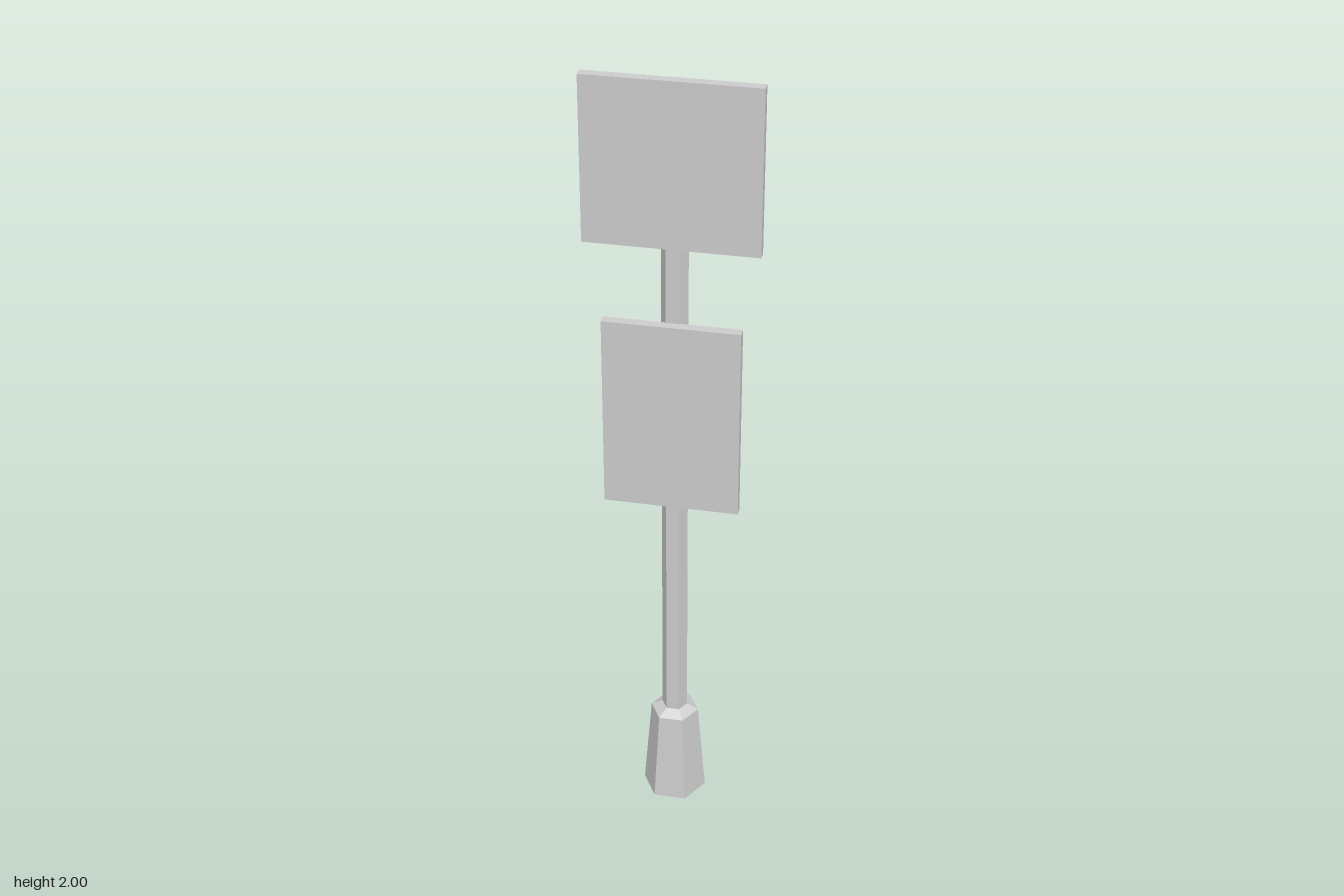
import * as THREE from 'three';

export function createModel() {
  const group = new THREE.Group();
  const material = new THREE.MeshStandardMaterial({ color: 0xcccccc, flatShading: true });

  function add(name, geometry, x, y, z) {
    const mesh = new THREE.Mesh(geometry, material);
    mesh.name = name;
    mesh.position.set(x, y, z);
    group.add(mesh);
  }

  // Hexagonal foot: closed bottom, tapered sides and a sloped shoulder up to the pole
  const footProfile = [[0, 0], [0.081, 0], [0.061, 0.25], [0.032, 0.265]]
    .map(([r, y]) => new THREE.Vector2(r, y));
  add('foot', new THREE.LatheGeometry(footProfile, 6, Math.PI / 6), 0, 0, -0.001);

  // Hexagonal pole, corners pointing sideways
  const poleBottom = 0.25, poleTop = 1.965;
  add('pole',
    new THREE.CylinderGeometry(0.032, 0.032, poleTop - poleBottom, 6, 1, false, Math.PI / 6),
    0, (poleBottom + poleTop) / 2, -0.001);

  // Flat sign boards fixed to the front of the pole
  add('upperSign', new THREE.BoxGeometry(0.408, 0.4, 0.024), 0, 1.8, 0.035);
  add('lowerSign', new THREE.BoxGeometry(0.326, 0.492, 0.024), 0, 1.156, 0.037);

  return group;
}
